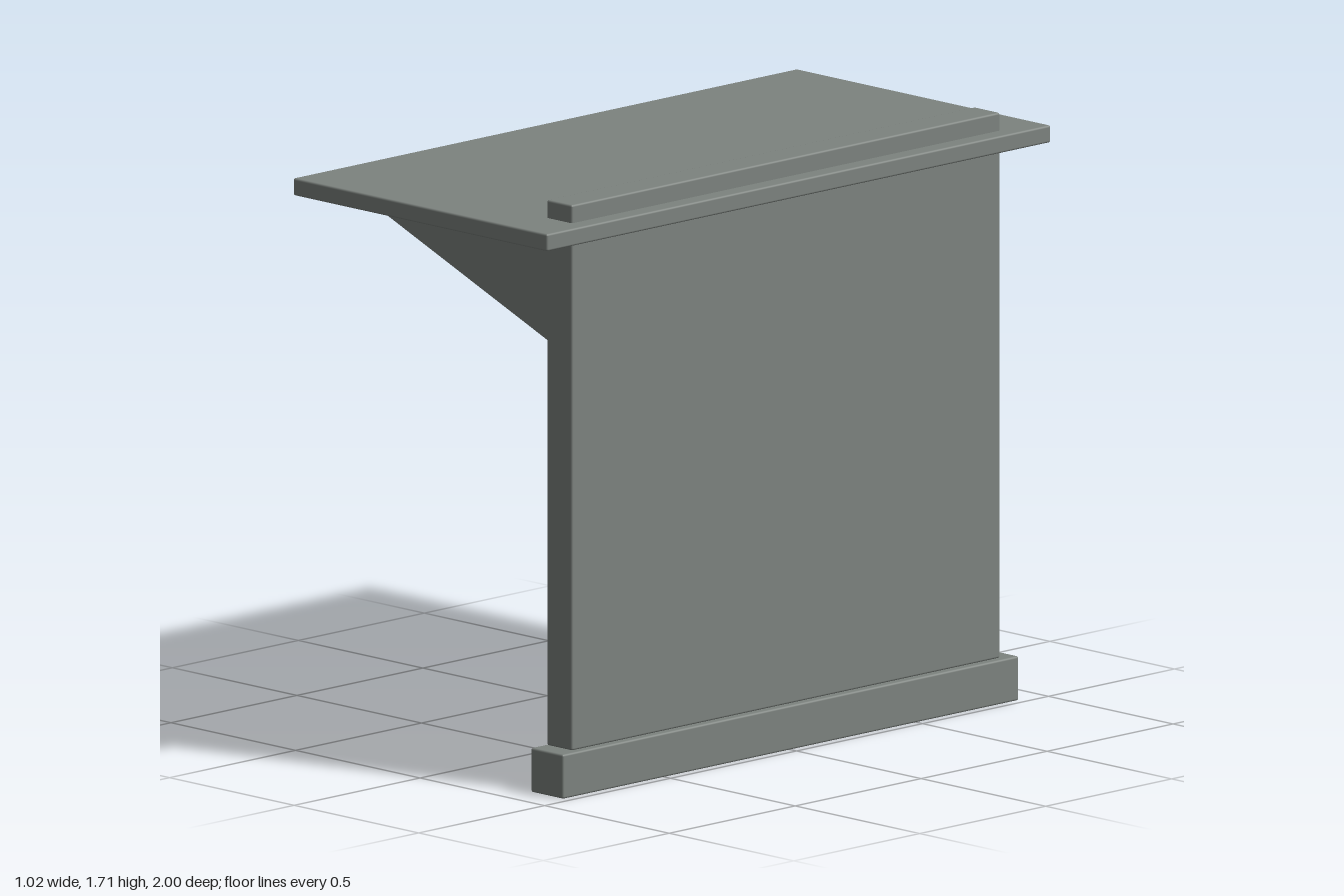
import * as THREE from 'three';
import { RoundedBoxGeometry } from 'three/addons/geometries/RoundedBoxGeometry.js';

export function createModel() {
  const model = new THREE.Group();
  model.name = 'shelter';
  const concrete = new THREE.MeshStandardMaterial({ color: 0x7d837f });
  concrete.name = 'grey concrete';

  const add = (name, geometry) => {
    const mesh = new THREE.Mesh(geometry, concrete);
    mesh.name = name;
    model.add(mesh);
    return mesh;
  };

  // Slab with finely softened edges, given by its limits in x and y and its length in z
  const slab = (name, x0, x1, y0, y1, length) => {
    const geometry = new RoundedBoxGeometry(x1 - x0, y1 - y0, length, 2, 0.006);
    add(name, geometry).position.set((x0 + x1) / 2, (y0 + y1) / 2, 0);
  };
  slab('base', 0.348, 0.478, 0, 0.128, 1.81);
  slab('wall', 0.356, 0.458, 0.128, 1.706, 1.7);
  slab('roof', -0.51, 0.51, 1.604, 1.654, 2);

  // Triangular brackets carrying the roof from the wall
  const thickness = 0.04;
  const profile = new THREE.Shape([
    new THREE.Vector2(-0.44, 1.607),
    new THREE.Vector2(0.36, 1.286),
    new THREE.Vector2(0.36, 1.607),
  ]);
  const bracket = new THREE.ExtrudeGeometry(profile, { depth: thickness, bevelEnabled: false });
  bracket.translate(0, 0, -thickness / 2);
  for (const z of [-0.81, 0, 0.81]) add('bracket', bracket).position.z = z;

  return model;
}
